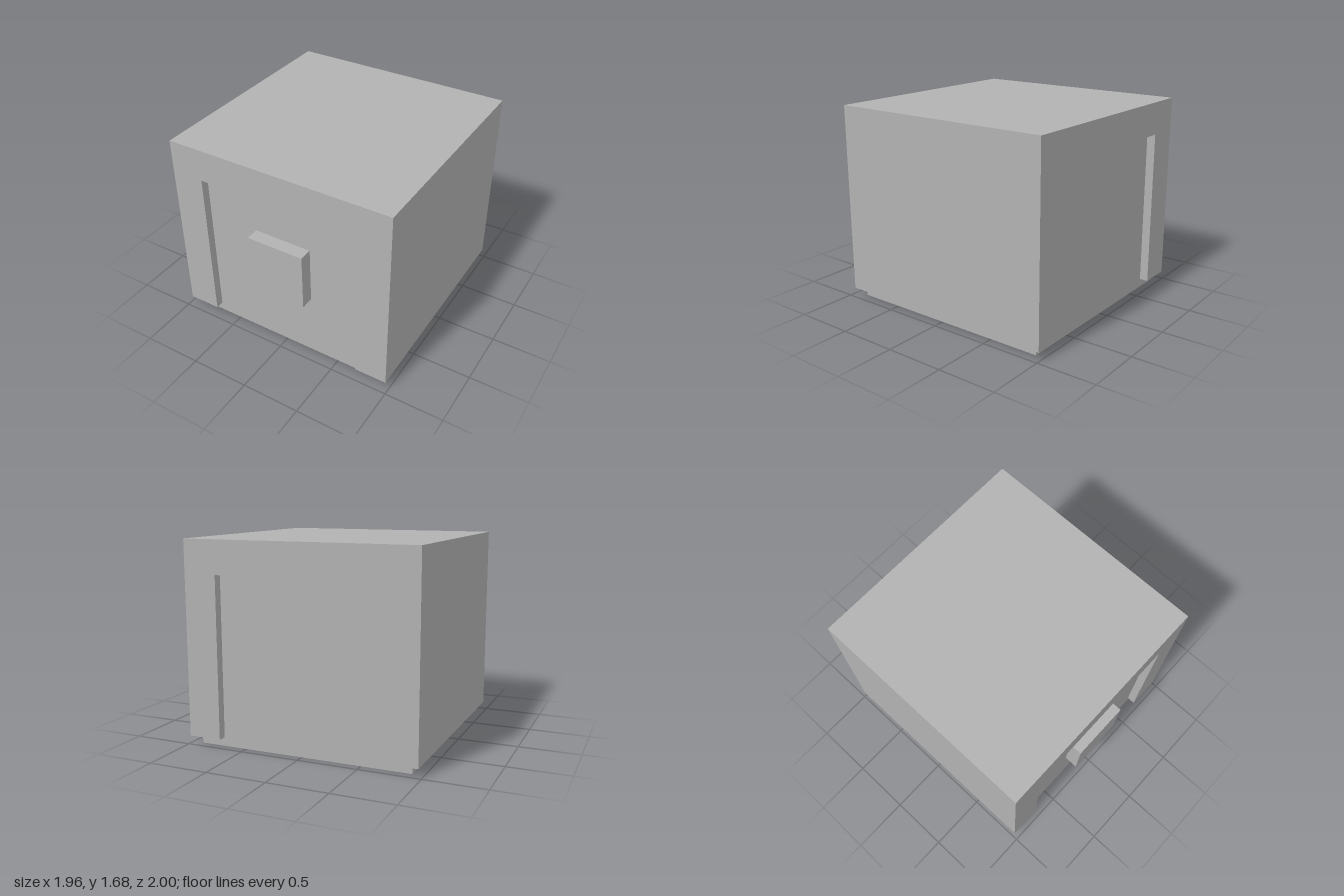
import * as THREE from 'three';

export function createModel() {
  const group = new THREE.Group();
  const grey = new THREE.MeshStandardMaterial({ color: 0xb2b2b2 });
  grey.name = 'grey';

  const add = (name, geometry) => {
    const mesh = new THREE.Mesh(geometry, grey);
    mesh.name = name;
    group.add(mesh);
  };
  // box given by its half width and its y and z limits
  const box = (halfX, y0, y1, z0, z1) =>
    new THREE.BoxGeometry(halfX * 2, y1 - y0, z1 - z0)
      .translate(0, (y0 + y1) / 2, (z0 + z1) / 2);

  // outer casing: an arch running front to back
  const [w, base, top, openW, openTop] = [0.978, 0.073, 1.679, 0.699, 1.403];
  const arch = new THREE.Shape([
    [-w, base], [-openW, base], [-openW, openTop], [openW, openTop],
    [openW, base], [w, base], [w, top], [-w, top],
  ].map(([x, y]) => new THREE.Vector2(x, y)));
  add('casing', new THREE.ExtrudeGeometry(arch, { depth: 1.957, bevelEnabled: false }).translate(0, 0, -1));

  // inner block, seen as the recessed front and back panels and the plinth
  add('innerBlock', box(0.908, 0, 1.6, -0.927, 0.887));

  // raised square on the front panel
  add('frontBlock', box(0.25, 0.56, 1.05, 0.86, 1));

  return group;
}
